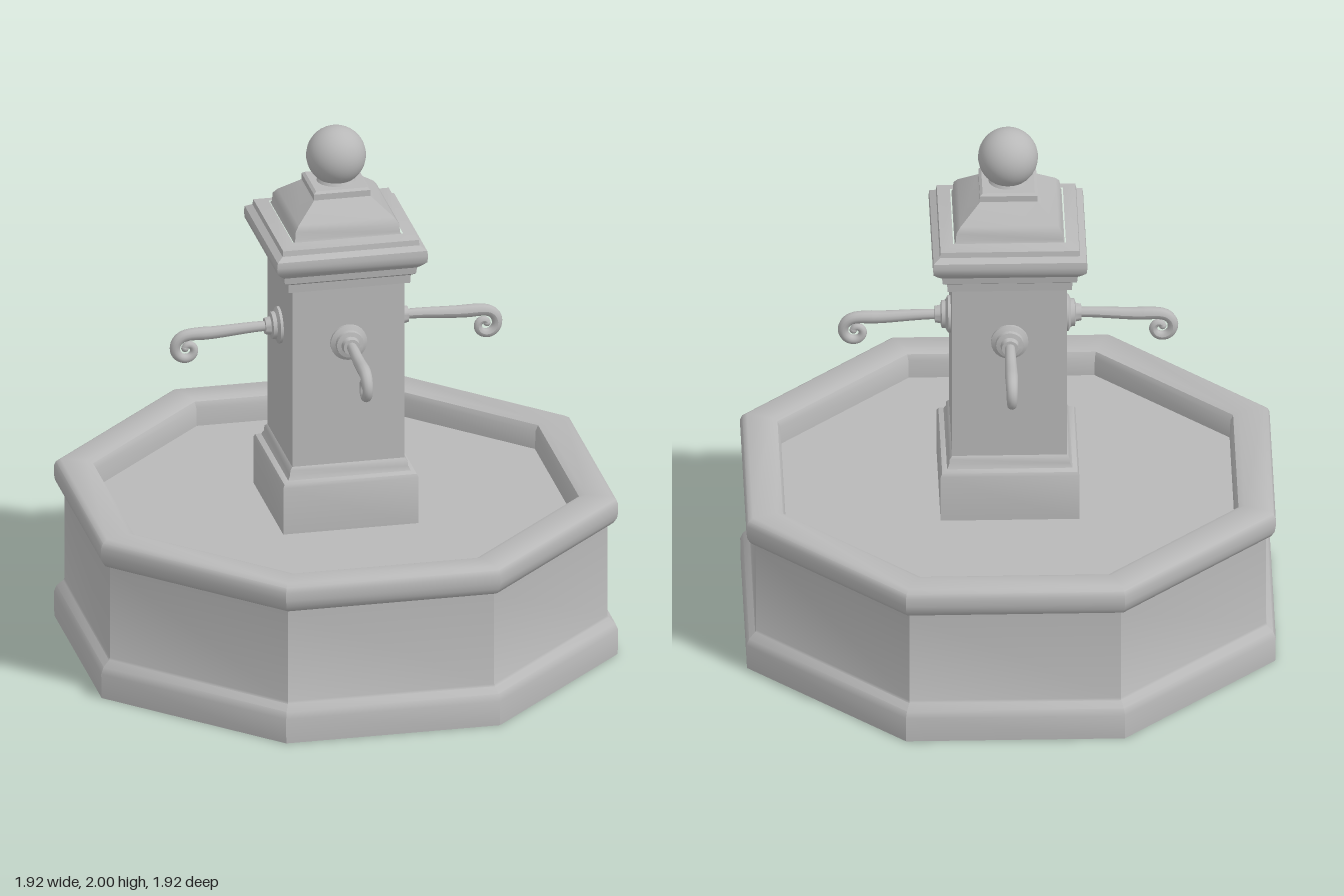
import * as THREE from 'three';
import { toCreasedNormals } from 'three/addons/utils/BufferGeometryUtils.js';

const stone = new THREE.MeshStandardMaterial({ color: 0xb8b8b8 });
stone.name = 'stone grey';

function mesh(name, geometry) {
  const m = new THREE.Mesh(geometry, stone);
  m.name = name;
  return m;
}

// Prism with a moulded profile; profile holds [apothem, height], bottom to top
function moulded(name, sides, profile) {
  const k = 1 / Math.cos(Math.PI / sides);
  const pts = profile.map(([a, y]) => new THREE.Vector2(a * k, y));
  const geo = new THREE.LatheGeometry(pts, sides, Math.PI / sides);
  return mesh(name, toCreasedNormals(geo, 0.65));
}

// Tube along a curve whose radius follows radiusAt(t)
function taperedTube(curve, segments, sides, radiusAt) {
  const geo = new THREE.TubeGeometry(curve, segments, 1, sides);
  const pos = geo.attributes.position;
  const p = new THREE.Vector3();
  for (let i = 0; i <= segments; i++) {
    const t = i / segments;
    const c = curve.getPointAt(t);
    for (let j = 0; j <= sides; j++) {
      const n = i * (sides + 1) + j;
      p.fromBufferAttribute(pos, n).sub(c).multiplyScalar(radiusAt(t)).add(c);
      pos.setXYZ(n, p.x, p.y, p.z);
    }
  }
  geo.computeVertexNormals();
  return geo;
}

// Spout pointing along +x, ending in a scroll
function createSpout(name, reach) {
  const spout = new THREE.Group();
  spout.name = name;
  const cx = reach - 0.066, cy = 1.175;
  const pts = [
    new THREE.Vector3(0.2, 1.24, 0),
    new THREE.Vector3(0.3, 1.24, 0),
    new THREE.Vector3(cx - 0.1, 1.232, 0),
  ];
  const steps = 16;
  for (let i = 0; i <= steps; i++) {
    const t = i / steps;
    const a = Math.PI / 2 - t * Math.PI * 2.35;
    const r = 0.055 - 0.046 * t;
    pts.push(new THREE.Vector3(cx + r * Math.cos(a), cy + r * Math.sin(a), 0));
  }
  const curve = new THREE.CatmullRomCurve3(pts);
  const radiusAt = (t) => (t < 0.5 ? 0.017 + 0.014 * t : 0.024 - 0.022 * (t - 0.5));
  spout.add(mesh('scrollPipe', taperedTube(curve, 80, 12, radiusAt)));

  const tip = mesh('scrollTip', new THREE.SphereGeometry(0.014, 12, 8));
  tip.position.copy(pts[pts.length - 1]);
  spout.add(tip);

  // Round wall plate with a stepped collar
  const plate = [[0.068, 0], [0.068, 0.015], [0.052, 0.024], [0.05, 0.038], [0.034, 0.042], [0.03, 0.062], [0, 0.064]]
    .map(([r, h]) => new THREE.Vector2(r, h));
  const collar = mesh('wallPlate', toCreasedNormals(new THREE.LatheGeometry(plate, 24), 0.6));
  collar.rotation.z = -Math.PI / 2;
  collar.position.set(0.204, 1.24, 0);
  spout.add(collar);
  return spout;
}

export function createModel() {
  const model = new THREE.Group();
  model.name = 'fountain';

  // Octagonal basin with plinth, rounded rim and shallow floor
  model.add(moulded('basin', 8, [
    [0, 0], [0.96, 0], [0.962, 0.095], [0.952, 0.12], [0.93, 0.142], [0.926, 0.15],
    [0.926, 0.505], [0.945, 0.515], [0.958, 0.535], [0.962, 0.56], [0.962, 0.59],
    [0.955, 0.608], [0.938, 0.619], [0.85, 0.619], [0.828, 0.61], [0.818, 0.59],
    [0.815, 0.52], [0, 0.52],
  ]));

  // Square pillar: foot and shaft
  model.add(moulded('pillar', 4, [
    [0.252, 0.515], [0.252, 0.7], [0.246, 0.712], [0.228, 0.72], [0.22, 0.735],
    [0.218, 0.755], [0.209, 0.765], [0.209, 1.47],
  ]));

  // Cornice and stepped cap
  model.add(moulded('cornice', 4, [
    [0.205, 1.455], [0.226, 1.458], [0.228, 1.49], [0.244, 1.5], [0.247, 1.525],
    [0.264, 1.54], [0.278, 1.555], [0.281, 1.58], [0.278, 1.6], [0.255, 1.615],
    [0.252, 1.635], [0.205, 1.645],
  ]));
  model.add(moulded('cap', 4, [
    [0.2, 1.64], [0.195, 1.65], [0.193, 1.68], [0.178, 1.7], [0.11, 1.757],
    [0.105, 1.762], [0.105, 1.785], [0.095, 1.793], [0, 1.793],
  ]));

  // Ball finial on its neck
  const neck = mesh('finialNeck', new THREE.CylinderGeometry(0.06, 0.075, 0.03, 24));
  neck.position.y = 1.8;
  const ball = mesh('finialBall', new THREE.SphereGeometry(0.109, 32, 24));
  ball.position.y = 1.891;
  model.add(neck, ball);

  // Four spouts, the side pair reaching further
  ['leftSpout', 'backSpout', 'rightSpout', 'frontSpout'].forEach((name, i) => {
    const spout = createSpout(name, i % 2 ? 0.553 : 0.62);
    spout.rotation.y = i * Math.PI / 2;
    model.add(spout);
  });

  return model;
}
